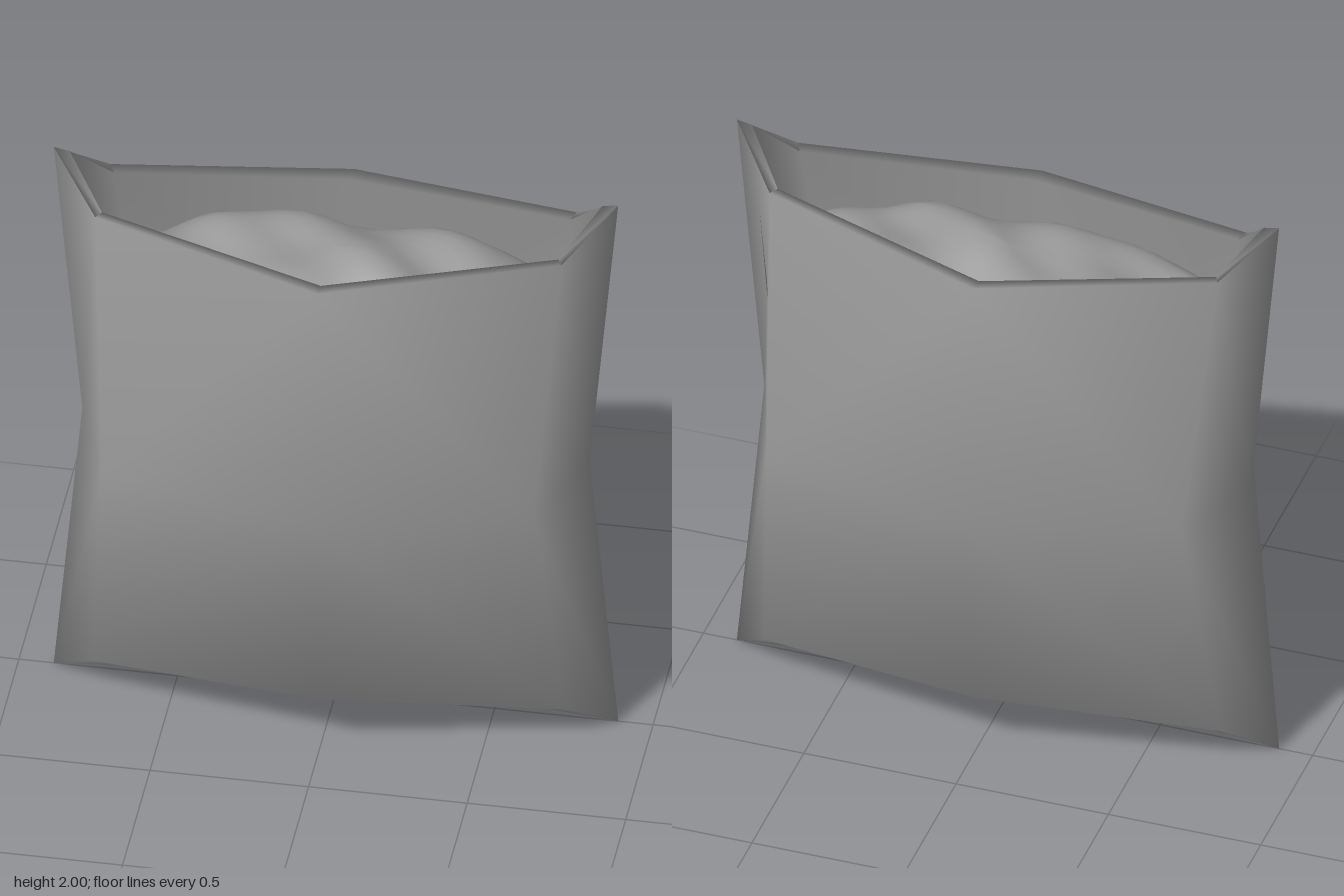
import * as THREE from 'three';
import { mergeVertices } from 'three/addons/utils/BufferGeometryUtils.js';

// Eight-point horizontal loop: side corners, four shoulders, front and back middles
function loop([cx, cy], [sx, sy, sz], [my, mz]) {
  return [
    [cx, cy, 0], [sx, sy, sz], [0, my, mz], [-sx, sy, sz],
    [-cx, cy, 0], [-sx, sy, -sz], [0, my, -mz], [sx, sy, -sz],
  ];
}

// Skin over the loops, closed by a fan at each end
function loft(first, loops, last) {
  const points = [first, ...loops.flat(), last];
  const end = points.length - 1;
  const index = [];
  const id = (r, j) => 1 + r * 8 + (j % 8);
  for (let j = 0; j < 8; j++) {
    index.push(0, id(0, j), id(0, j + 1));
    index.push(end, id(loops.length - 1, j + 1), id(loops.length - 1, j));
    for (let r = 0; r < loops.length - 1; r++) {
      const a = id(r, j), b = id(r, j + 1), c = id(r + 1, j + 1), d = id(r + 1, j);
      if (j % 4 < 2) index.push(a, c, b, a, d, c);
      else index.push(a, d, b, b, d, c);
    }
  }
  const geometry = new THREE.BufferGeometry();
  geometry.setAttribute('position', new THREE.Float32BufferAttribute(points.flat(), 3));
  geometry.setIndex(index);
  geometry.computeVertexNormals();
  return geometry;
}

// Lumpy mound that fills the opening
function moundGeometry() {
  const disc = new THREE.RingGeometry(0.001, 1, 48, 12);
  disc.rotateX(-Math.PI / 2);
  disc.deleteAttribute('uv');
  disc.deleteAttribute('normal');
  const p = disc.attributes.position;
  for (let i = 0; i < p.count; i++) {
    const u = p.getX(i), v = p.getZ(i);
    const r2 = u * u + v * v;
    const lumps = 0.025 * Math.sin(7 * u + 1) * Math.cos(4 * v - 0.5) + 0.012 * Math.sin(13 * u - 5 * v);
    p.setXYZ(i, u * 0.78, 1.71 - 0.14 * r2 * r2 + lumps, v * 0.31);
  }
  const geometry = mergeVertices(disc);
  geometry.computeVertexNormals();
  return geometry;
}

export function createModel() {
  const group = new THREE.Group();
  const grey = new THREE.MeshStandardMaterial({ color: 0x999999 });
  grey.name = 'grey';

  // Sack: outer wall upwards, over the rim, then the inner wall downwards
  const sack = new THREE.Mesh(loft([0, 0.08, 0], [
    loop([0.89, 0], [0.75, 0.13, 0.14], [0.215, 0.33]),
    loop([0.8, 1], [0.68, 1, 0.33], [1, 0.49]),
    loop([0.89, 2], [0.735, 1.85, 0.14], [1.785, 0.33]),
    loop([0.84, 1.99], [0.72, 1.845, 0.105], [1.78, 0.28]),
    loop([0.75, 1], [0.65, 1, 0.285], [1, 0.44]),
    loop([0.82, 0.1], [0.72, 0.18, 0.1], [0.25, 0.28]),
  ], [0, 0.14, 0]), grey);
  sack.name = 'sack';
  group.add(sack);

  // Contents seen through the mouth
  const contents = new THREE.Mesh(moundGeometry(), grey);
  contents.name = 'contents';
  group.add(contents);

  return group;
}
